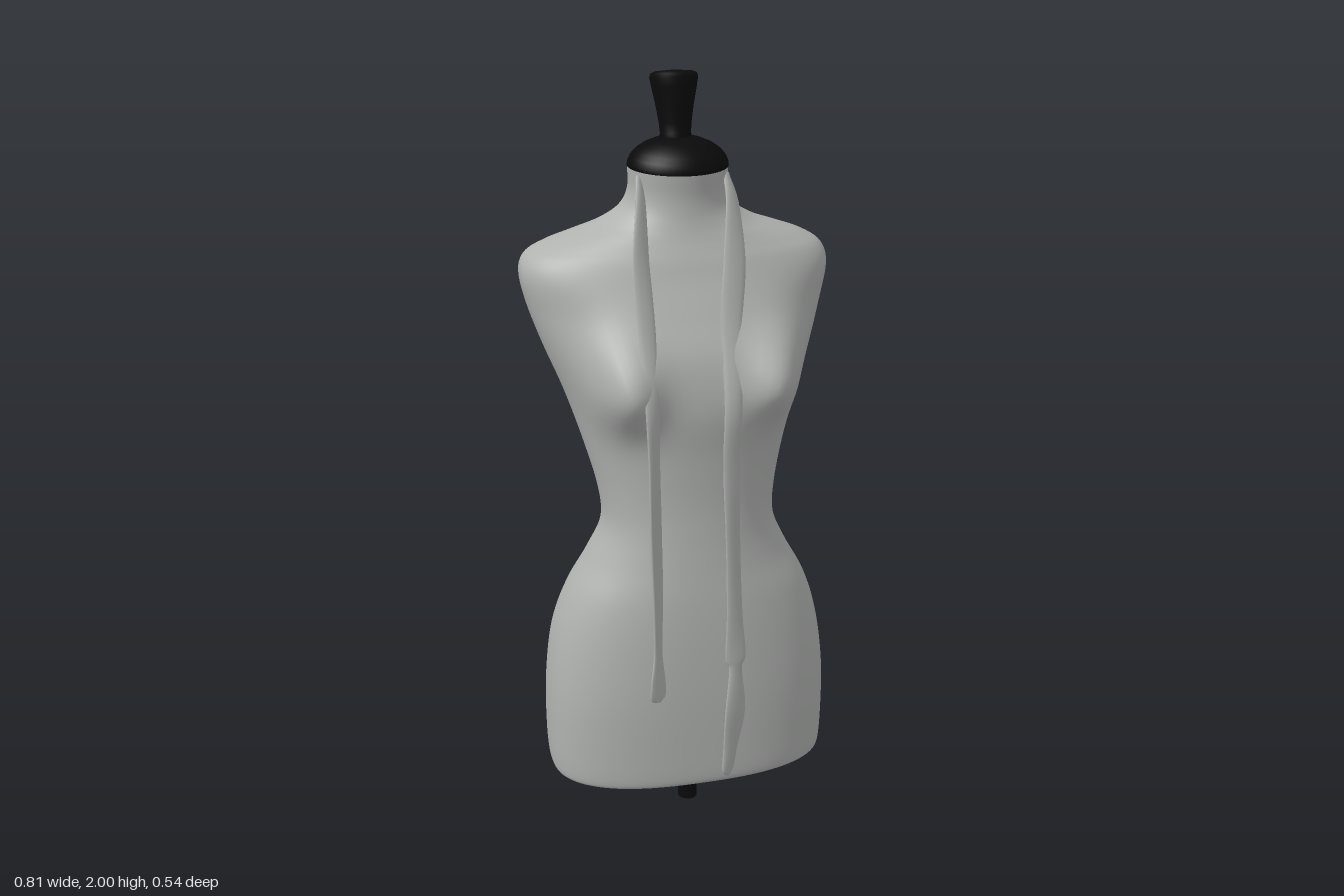
import * as THREE from 'three';

const fabric = new THREE.MeshStandardMaterial({ color: 0xb0b2b0 });
fabric.name = 'greyFabric';
const black = new THREE.MeshStandardMaterial({ color: 0x0a0a0a });
black.name = 'blackWood';

// Smoothly interpolates a table of rows into count + 1 rows
function smoothRows(rows, count) {
  const spline = new THREE.CubicInterpolant(rows.map((_, i) => i), rows.flat(), rows[0].length);
  return Array.from({ length: count + 1 }, (_, i) =>
    Array.from(spline.evaluate((i / count) * (rows.length - 1))));
}

// Skins a list of closed rings of points
function loft(rings) {
  const n = rings[0].length;
  const index = [];
  for (let i = 0; i < rings.length - 1; i++) {
    for (let j = 0; j < n; j++) {
      const k = (j + 1) % n;
      const a = i * n + j, b = i * n + k, c = a + n, d = b + n;
      index.push(a, c, b, b, c, d);
    }
  }
  const geometry = new THREE.BufferGeometry().setFromPoints(rings.flat());
  geometry.setIndex(index);
  geometry.computeVertexNormals();
  return geometry;
}

// Torso sections: y, half width, back z, front z, z of widest point, front and back squareness
const torsoRows = [
  [0.148, 0.364, -0.26, 0.192, -0.01, 2.5, 2.4],
  [0.165, 0.376, -0.272, 0.203, -0.01, 2.5, 2.4],
  [0.25, 0.382, -0.276, 0.207, -0.01, 2.5, 2.4],
  [0.4, 0.38, -0.274, 0.21, -0.01, 2.5, 2.4],
  [0.55, 0.361, -0.254, 0.207, -0.01, 2.4, 2.4],
  [0.67, 0.323, -0.214, 0.2, 0, 2.3, 2.3],
  [0.77, 0.269, -0.168, 0.19, 0, 2.2, 2.2],
  [0.86, 0.23, -0.145, 0.182, 0.01, 2.2, 2.2],
  [0.95, 0.234, -0.153, 0.178, 0, 2.2, 2.2],
  [1.07, 0.264, -0.184, 0.182, -0.03, 2.2, 2.2],
  [1.2, 0.305, -0.223, 0.192, -0.06, 2.1, 2.4],
  [1.32, 0.352, -0.257, 0.174, -0.085, 2.1, 2.7],
  [1.42, 0.386, -0.272, 0.13, -0.1, 2.1, 3],
  [1.5, 0.403, -0.27, 0.092, -0.105, 2.2, 3.1],
  [1.548, 0.39, -0.262, 0.073, -0.11, 2.1, 2.9],
  [1.578, 0.345, -0.251, 0.06, -0.11, 2, 2.5],
  [1.602, 0.282, -0.241, 0.05, -0.105, 2, 2.2],
  [1.63, 0.205, -0.226, 0.041, -0.1, 2, 2],
  [1.665, 0.15, -0.211, 0.034, -0.09, 2, 2],
  [1.71, 0.128, -0.198, 0.032, -0.08, 2, 2],
  [1.77, 0.128, -0.19, 0.038, -0.076, 2, 2],
];

function torsoRing([y, hw, back, front, mid, nf, nb]) {
  const segments = 80;
  const dip = 0.08 * THREE.MathUtils.smoothstep(y, 1.65, 1.77);
  return Array.from({ length: segments }, (_, j) => {
    const a = (j / segments) * Math.PI * 2;
    const c = Math.cos(a), s = Math.sin(a);
    const p = 2 / (s >= 0 ? nf : nb);
    const x = hw * Math.sign(c) * Math.abs(c) ** p;
    let z = mid + ((s >= 0 ? front : back) - mid) * Math.abs(s) ** p;
    // Bust
    if (s > 0) {
      const dx = (Math.abs(x) - 0.2) / 0.08;
      const dy = (y - 1.25) / (y > 1.25 ? 0.125 : 0.095);
      z += 0.085 * Math.exp(-dx * dx - dy * dy) * Math.min(1, s * 2);
    }
    // The neck rim dips towards the front
    return new THREE.Vector3(x, y - dip * (z + 0.076), z);
  });
}

// Hanging ribbon rows: x, y, z, half width, twist
function ribbonGeometry(rows) {
  const samples = smoothRows(rows, 70);
  const centres = samples.map(([x, y, z]) => new THREE.Vector3(x, y, z));
  const rings = samples.map(([, , , w, twist], i) => {
    const along = centres[Math.min(i + 1, 70)].clone().sub(centres[Math.max(i - 1, 0)]).normalize();
    const side = new THREE.Vector3(Math.cos(twist), 0, Math.sin(twist));
    side.addScaledVector(along, -side.dot(along)).normalize();
    const face = side.clone().cross(along);
    const thick = Math.min(0.007, Math.abs(w));
    return Array.from({ length: 12 }, (_, j) => {
      const a = (j / 12) * Math.PI * 2;
      return centres[i].clone()
        .addScaledVector(side, Math.cos(a) * w)
        .addScaledVector(face, Math.sin(a) * thick);
    });
  });
  return loft(rings);
}

const rightRibbonRows = [
  [-0.112, 1.75, -0.03, 0.012, -0.9],
  [-0.118, 1.68, 0.012, 0.022, -0.8],
  [-0.134, 1.55, 0.078, 0.03, -0.6],
  [-0.138, 1.4, 0.148, 0.026, -0.4],
  [-0.142, 1.25, 0.21, 0.022, -0.4],
  [-0.14, 1.1, 0.22, 0.026, -0.8],
  [-0.138, 0.9, 0.226, 0.032, -0.9],
  [-0.135, 0.72, 0.23, 0.028, -0.9],
  [-0.137, 0.58, 0.235, 0.022, -0.9],
  [-0.139, 0.5, 0.244, 0.03, -0.7],
  [-0.14, 0.455, 0.248, 0.028, -0.6],
  [-0.14, 0.44, 0.248, 0.002, -0.6],
];
const leftRibbonRows = [
  [0.112, 1.75, -0.03, 0.012, -0.9],
  [0.118, 1.68, 0.012, 0.026, -0.7],
  [0.105, 1.55, 0.078, 0.034, -0.4],
  [0.08, 1.4, 0.138, 0.03, -0.2],
  [0.07, 1.22, 0.198, 0.024, -0.1],
  [0.068, 1.05, 0.194, 0.026, -0.3],
  [0.072, 0.85, 0.198, 0.026, -0.5],
  [0.074, 0.65, 0.212, 0.026, -0.4],
  [0.076, 0.53, 0.218, 0.03, -0.2],
  [0.076, 0.49, 0.219, 0.02, -0.3],
  [0.075, 0.37, 0.224, 0.034, -0.4],
  [0.062, 0.26, 0.224, 0.024, -0.4],
  [0.056, 0.2, 0.224, 0.022, -0.6],
  [0.054, 0.18, 0.224, 0.002, -0.6],
];

function lathe(points, segments = 48) {
  const curve = points.map(([r, y]) => new THREE.Vector2(r, y));
  return new THREE.LatheGeometry(curve, segments);
}

export function createModel() {
  const model = new THREE.Group();
  model.name = 'dressForm';
  const add = (name, geometry, material, x = 0, y = 0, z = 0) => {
    const mesh = new THREE.Mesh(geometry, material);
    mesh.name = name;
    mesh.position.set(x, y, z);
    model.add(mesh);
    return mesh;
  };

  // Torso and its flat underside
  add('torso', loft(smoothRows(torsoRows, 120).map(torsoRing)), fabric);
  const outline = torsoRing(torsoRows[0]).map((p) => new THREE.Vector2(p.x, p.z));
  const base = new THREE.ShapeGeometry(new THREE.Shape(outline)).rotateX(Math.PI / 2);
  add('underside', base, fabric, 0, torsoRows[0][0], 0);

  // Ribbons hanging from the neck
  add('rightRibbon', ribbonGeometry(rightRibbonRows), fabric);
  add('leftRibbon', ribbonGeometry(leftRibbonRows), fabric);

  // Domed neck cap, dipping towards the front
  const cap = add('neckCap', lathe([
    [0, 0], [0.129, 0], [0.128, 0.01], [0.122, 0.024], [0.11, 0.038],
    [0.09, 0.052], [0.065, 0.063], [0.035, 0.07], [0, 0.072],
  ]), black, 0, 1.768, -0.076);
  cap.scale.z = 0.89;
  cap.rotation.x = 0.08;

  // Flared knob leaning slightly back
  const knob = add('knob', lathe([
    [0, -0.01], [0.045, -0.01], [0.039, 0.015], [0.041, 0.04], [0.048, 0.085],
    [0.057, 0.13], [0.061, 0.152], [0.058, 0.162], [0.045, 0.167], [0, 0.17],
  ]), black, 0, 1.828, -0.096);
  knob.rotation.x = -0.12;

  // Stand pole
  add('pole', new THREE.CylinderGeometry(0.026, 0.026, 0.18, 24), black, 0.005, 0.09, 0);

  return model;
}
